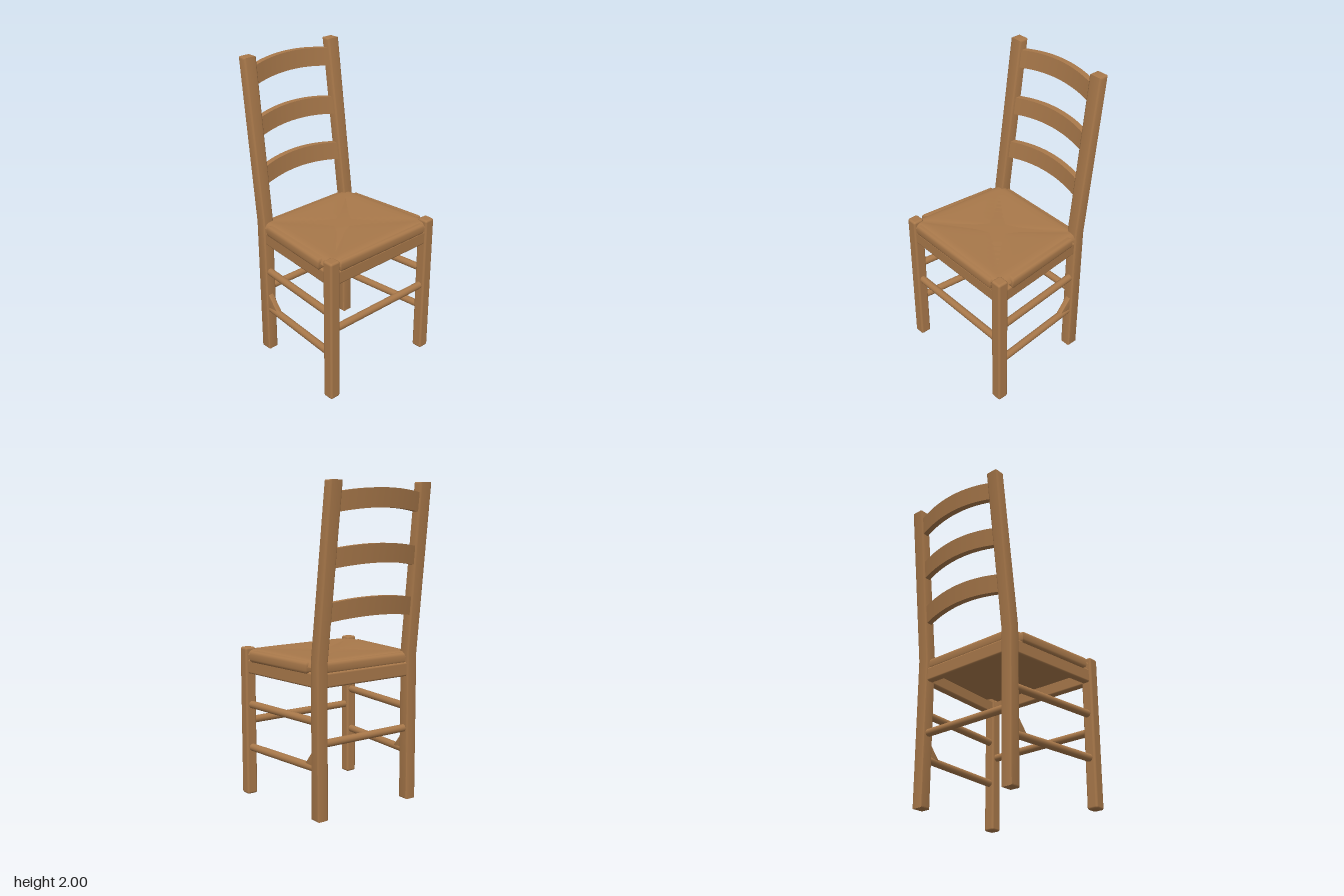
import * as THREE from 'three';
import { toCreasedNormals } from 'three/addons/utils/BufferGeometryUtils.js';
import { RoundedBoxGeometry } from 'three/addons/geometries/RoundedBoxGeometry.js';

export function createModel() {
  const wood = new THREE.MeshStandardMaterial({ color: 0xa8784a });
  wood.name = 'brownWood';

  const model = new THREE.Group();
  model.name = 'ladderBackChair';
  const chair = new THREE.Group();
  chair.name = 'chair';
  // the chair stands turned on its base
  chair.rotation.y = 1.017;
  chair.position.set(0.005, 0, -0.0085);
  model.add(chair);

  const add = (name, geometry) => {
    const mesh = new THREE.Mesh(geometry, wood);
    mesh.name = name;
    chair.add(mesh);
    return mesh;
  };
  const shapeOf = (pts) => new THREE.Shape(pts.map(([a, b]) => new THREE.Vector2(a, b)));
  const extrude = (pts, depth, bevel) => toCreasedNormals(new THREE.ExtrudeGeometry(shapeOf(pts), {
    depth: depth - 2 * bevel, bevelEnabled: true, bevelSize: bevel, bevelThickness: bevel,
    bevelOffset: -bevel, bevelSegments: 3,
  }), 0.6);
  // lay a level part, long in z, between two points
  const span = (name, geometry, a, b) => {
    const mesh = add(name, geometry);
    mesh.position.copy(a).lerp(b, 0.5);
    mesh.rotation.y = Math.atan2(b.x - a.x, b.z - a.z);
  };
  const V = (x, y, z) => new THREE.Vector3(x, y, z);
  const rung = (name, a, b, r = 0.024) =>
    span(name, new THREE.CylinderGeometry(r, r, a.distanceTo(b), 14).rotateX(Math.PI / 2), a, b);
  const rail = (name, a, b) =>
    span(name, new RoundedBoxGeometry(0.05, 0.09, a.distanceTo(b), 3, 0.012), a, b);

  const FX = 0.41, FZ = 0.376, BX = 0.348, BZ = -0.317;
  const KNEE = 0.95, LEAN = 0.124;
  const lean = (y) => Math.max(0, (y - KNEE) / (2 - KNEE));

  for (const s of [-1, 1]) {
    const side = s > 0 ? 'left' : 'right';
    // straight front leg
    add(side + 'FrontLeg', new RoundedBoxGeometry(0.074, 0.97, 0.074, 3, 0.014)
      .translate(s * FX, 0.485, FZ));

    // back post, upright to the seat and leaning above it
    const post = extrude([
      [BZ - 0.037, 0], [BZ + 0.037, 0], [BZ + 0.037, KNEE + 0.02],
      [BZ - LEAN + 0.032, 2], [BZ - LEAN - 0.032, 2], [BZ - 0.037, KNEE],
    ], 0.076, 0.01);
    post.translate(0, 0, -0.028).rotateY(-Math.PI / 2);
    const p = post.attributes.position;
    for (let i = 0; i < p.count; i++) {
      const t = lean(p.getY(i));
      p.setX(i, p.getX(i) * (1 + 0.14 * t) + s * (BX - 0.013 * t));
    }
    add(side + 'BackPost', post);

    // side rungs and seat rail
    for (const [name, y] of [['UpperSideRung', 0.597], ['LowerSideRung', 0.313]]) {
      rung(side + name, V(s * BX, y, BZ), V(s * FX, y, FZ));
    }
    rail(side + 'SeatRail', V(s * BX, 0.848, BZ), V(s * FX, 0.848, FZ));

    // small brace in the corner above the lower rung
    const brace = extrude([[BZ + 0.02, 0.31], [BZ + 0.12, 0.325], [BZ + 0.02, 0.445]], 0.036, 0.005);
    add(side + 'Brace', brace.translate(0, 0, -0.013).rotateY(-Math.PI / 2)
      .translate(s * (BX + 0.005), 0, 0));
  }

  // cross rungs and rails
  rung('frontRung', V(-FX, 0.488, FZ), V(FX, 0.488, FZ));
  rung('backRung', V(-BX, 0.465, BZ), V(BX, 0.465, BZ));
  rail('frontSeatRail', V(-FX, 0.848, FZ), V(FX, 0.848, FZ));
  rail('backSeatRail', V(-BX, 0.848, BZ), V(BX, 0.848, BZ));

  // seat body, notched round the four legs
  const half = [[0.305, -0.335], [0.305, -0.25], [0.392, -0.25], [0.445, 0.3], [0.36, 0.3], [0.36, 0.406]];
  const outline = [...half, ...half.map(([x, z]) => [-x, z]).reverse()];
  add('seatBody', extrude(outline, 0.075, 0.022).rotateX(Math.PI / 2).translate(0, 0.933, 0));

  // woven seat top: four panels sloping to the middle, edges rolled down
  const top = new THREE.PlaneGeometry(2, 2, 32, 32).rotateX(-Math.PI / 2);
  const tp = top.attributes.position;
  for (let i = 0; i < tp.count; i++) {
    const u = Math.sin(tp.getX(i) * Math.PI / 2), v = Math.sin(tp.getZ(i) * Math.PI / 2);
    const m = Math.max(Math.abs(u), Math.abs(v));
    const crease = 0.006 * Math.exp(-Math.abs(Math.abs(u) - Math.abs(v)) * 12);
    const width = 0.407 + 0.03 * v;
    tp.setXYZ(i, u * width, 0.964 - 0.01 * (1 - m) - crease - 0.04 * m ** 24, 0.035 + v * 0.367);
  }
  top.computeVertexNormals();
  add('seatTop', top);

  // three back slats, bowed backward and arched
  [['lowerSlat', 1.248], ['middleSlat', 1.56], ['topSlat', 1.878]].forEach(([name, y]) => {
    const t = lean(y), w = 2 * (BX - 0.013 * t) - 0.04;
    const slat = new THREE.BoxGeometry(w, 0.114, 0.038, 20, 2, 1);
    const sp = slat.attributes.position;
    for (let i = 0; i < sp.count; i++) {
      const k = 1 - (2 * sp.getX(i) / w) ** 2;
      const h = sp.getY(i);
      sp.setY(i, y + h + 0.028 * k);
      sp.setZ(i, sp.getZ(i) + BZ - LEAN * lean(y + h) - 0.042 * k);
    }
    slat.computeVertexNormals();
    add(name, slat);
  });

  return model;
}
